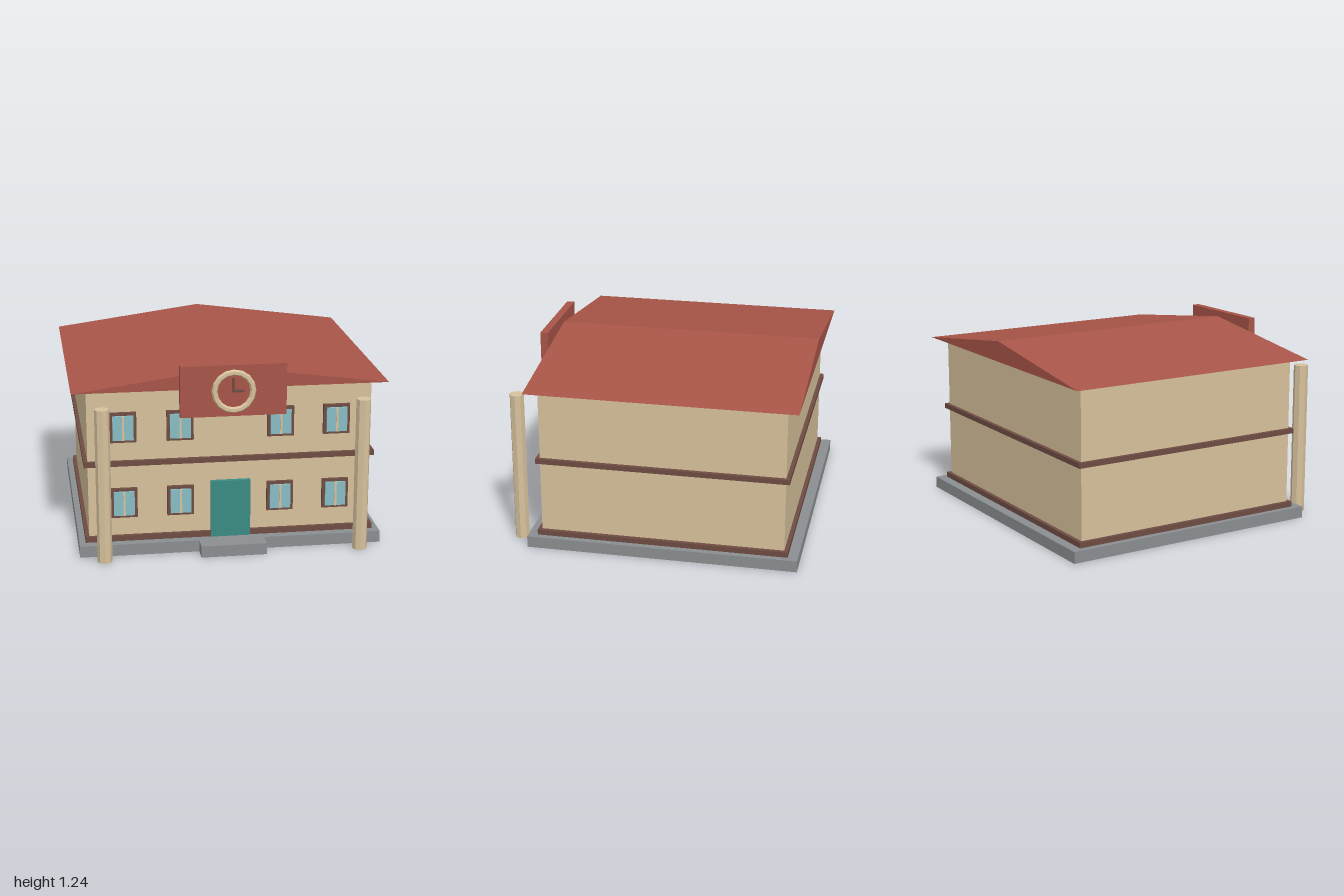
import * as THREE from 'three';

const mat = (color) => new THREE.MeshStandardMaterial({ color, flatShading: true });

export function createModel() {
  const model = new THREE.Group();
  model.name = 'clockBuilding';

  const wall = mat(0xd6c19c), red = mat(0xa85548), brown = mat(0x6e4c42);
  const stone = mat(0x8a8e90), glass = mat(0x88bcc4), teal = mat(0x3a8a82);

  const add = (name, geometry, material, parent = model) => {
    const mesh = new THREE.Mesh(geometry, material);
    mesh.name = name;
    parent.add(mesh);
    return mesh;
  };
  // Box given by its limits on each axis
  const box = (name, [x0, x1], [y0, y1], [z0, z1], material, parent) => {
    const mesh = add(name, new THREE.BoxGeometry(x1 - x0, y1 - y0, z1 - z0), material, parent);
    mesh.position.set((x0 + x1) / 2, (y0 + y1) / 2, (z0 + z1) / 2);
    return mesh;
  };

  // Plinth and entrance step
  box('plinth', [-0.97, 0.97], [0, 0.075], [-0.937, 0.815], stone);
  box('entranceStep', [-0.21, 0.21], [0, 0.075], [0.815, 0.92], stone);

  // Walls with the two trim bands
  box('walls', [-0.905, 0.905], [0.075, 1.075], [-0.847, 0.73], wall);
  box('lowerBand', [-0.93, 0.93], [0.075, 0.11], [-0.872, 0.755], brown);
  box('middleBand', [-0.93, 0.93], [0.577, 0.61], [-0.872, 0.755], brown);

  // Shallow gable roof
  const gable = new THREE.Shape([
    new THREE.Vector2(-1, 1.075), new THREE.Vector2(1, 1.075), new THREE.Vector2(0, 1.21),
  ]);
  const roof = add('roof', new THREE.ExtrudeGeometry(gable, { depth: 1.727, bevelEnabled: false }), red);
  roof.position.z = -0.925;

  // Door
  box('door', [-0.127, 0.127], [0.075, 0.45], [0.73, 0.762], teal);

  // Windows: frame, pane and mullion
  for (const y of [0.33, 0.83]) {
    for (const x of [-0.68, -0.32, 0.32, 0.68]) {
      const win = new THREE.Group();
      win.name = 'window';
      win.position.set(x, y, 0);
      box('windowFrame', [-0.085, 0.085], [-0.097, 0.097], [0.73, 0.753], brown, win);
      box('windowPane', [-0.066, 0.066], [-0.079, 0.079], [0.74, 0.767], glass, win);
      box('windowMullion', [-0.007, 0.007], [-0.079, 0.079], [0.745, 0.772], wall, win);
      model.add(win);
    }
  }

  // Free-standing octagonal columns
  for (const side of [-1, 1]) {
    const column = add('column', new THREE.CylinderGeometry(0.047, 0.047, 1, 8), wall);
    column.position.set(side * 0.818, 0.5, 0.892);
  }

  // Clock board with ring and hands
  box('clockBoard', [-0.333, 0.333], [0.915, 1.243], [0.82, 0.87], red);
  const ring = add('clockRing', new THREE.TorusGeometry(0.121, 0.019, 6, 16), wall);
  ring.position.set(0, 1.077, 0.878);
  box('minuteHand', [-0.007, 0.007], [1.07, 1.16], [0.87, 0.882], brown);
  box('hourHand', [-0.007, 0.065], [1.07, 1.084], [0.87, 0.882], brown);

  return model;
}
